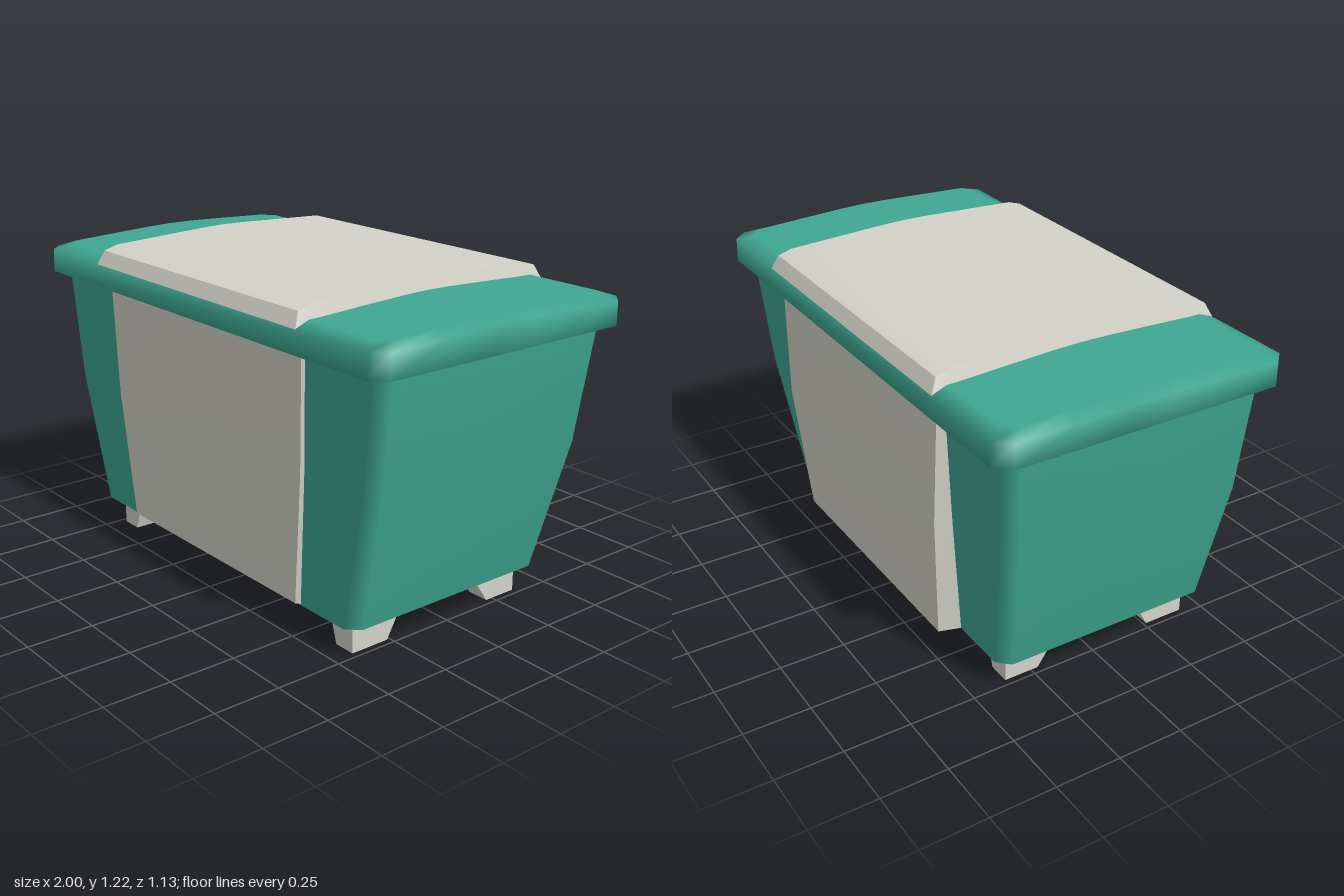
import * as THREE from 'three';
import { toCreasedNormals } from 'three/addons/utils/BufferGeometryUtils.js';

// Skin a stack of rings, lowest first. Each ring runs down the +x side from
// back to front, then returns along the -x side, so caps are simple strips.
function loft(rings, { bottom = true, top = true } = {}) {
  const n = rings[0].length;
  const pos = rings.flat(2);
  const idx = [];
  for (let r = 0; r < rings.length - 1; r++) {
    for (let i = 0; i < n; i++) {
      const j = (i + 1) % n;
      const a = r * n + i, b = r * n + j;
      idx.push(a, a + n, b, b, a + n, b + n);
    }
  }
  const cap = (start, up) => {
    for (let i = 0; i < n / 2 - 1; i++) {
      const r0 = start + i, r1 = r0 + 1, l0 = start + n - 1 - i, l1 = l0 - 1;
      if (up) idx.push(r0, l0, r1, r1, l0, l1);
      else idx.push(r0, r1, l0, r1, l1, l0);
    }
  };
  if (top) cap((rings.length - 1) * n, true);
  if (bottom) {
    // Separate vertices keep the lower edge crisp
    const start = pos.length / 3;
    pos.push(...rings[0].flat());
    cap(start, false);
  }
  const g = new THREE.BufferGeometry();
  g.setAttribute('position', new THREE.Float32BufferAttribute(pos, 3));
  g.setIndex(idx);
  g.computeVertexNormals();
  return g;
}

// Ring from [x, y, z] points of the +x side, mirrored to the -x side
const mirrorRing = (side) => [...side, ...side.map(([x, y, z]) => [-x, y, z]).reverse()];

// Rectangle with cut corners
const cutRing = (y, x, zBack, zFront, c) => mirrorRing([
  [x - c, y, zBack], [x, y, zBack + c], [x, y, zFront - c], [x - c, y, zFront],
]);

// Plain rectangle
const rectRing = (y, x0, x1, z0, z1) => [[x1, y, z0], [x1, y, z1], [x0, y, z1], [x0, y, z0]];

// Symmetric side list from [x, y, z] points given from front edge to centre
const archRing = (half) => mirrorRing([
  ...half.map(([x, y, z]) => [x, y, -z]),
  ...half.slice(0, -1).reverse(),
]);

export function createModel() {
  const model = new THREE.Group();
  const teal = new THREE.MeshStandardMaterial({ color: 0x3fa793 });
  teal.name = 'teal';
  const beige = new THREE.MeshStandardMaterial({ color: 0xd4d3c9 });
  beige.name = 'warm grey';
  const add = (name, geometry, material) => {
    const mesh = new THREE.Mesh(geometry, material);
    mesh.name = name;
    model.add(mesh);
  };

  // Tapered tub
  add('body', loft([
    cutRing(0.117, 0.788, -0.415, 0.475, 0.045),
    cutRing(0.62, 0.905, -0.475, 0.499, 0.045),
    cutRing(1.035, 0.955, -0.505, 0.508, 0.045),
  ], { top: false }), teal);

  // Overhanging lid with a gently arched top
  const lidRing = (x, z, c, yEdge, rise) => archRing([
    [x - c, yEdge, z],
    [x, yEdge + rise * 0.05, z - c],
    [x, yEdge + rise * 0.5, 0.28],
    [x, yEdge + rise * 0.9, 0.1],
    [x, yEdge + rise, 0],
  ]);
  add('lid', loft([
    lidRing(0.945, 0.505, 0.045, 1.028, 0),
    lidRing(0.998, 0.563, 0.052, 1.042, 0),
    lidRing(1.0, 0.56, 0.052, 1.13, 0.012),
    lidRing(0.95, 0.505, 0.045, 1.15, 0.019),
  ]), teal);

  // Raised panel across the lid
  add('lidPanel', toCreasedNormals(loft([
    archRing([
      [0.605, 1.128, 0.563], [0.605, 1.14, 0.5], [0.605, 1.148, 0.28],
      [0.605, 1.156, 0.1], [0.605, 1.158, 0],
    ]),
    archRing([
      [0.588, 1.18, 0.538], [0.588, 1.196, 0.485], [0.588, 1.205, 0.28],
      [0.588, 1.213, 0.1], [0.588, 1.215, 0],
    ]),
  ]), 0.25), beige);

  // Front and back panels: [y, outer x, face x, body z, face z]
  const panel = (name, levels, sign) => {
    const rings = levels.map(([y, xo, xi, zb, zf]) => {
      const lift = y < 0.2 ? 0.01 : 0;
      const inner = [xo, y, sign * zb], outer = [xi, y + lift, sign * zf];
      return mirrorRing(sign > 0 ? [inner, outer] : [outer, inner]);
    });
    add(name, toCreasedNormals(loft(rings), 0.3), beige);
  };
  panel('frontPanel', [
    [0.117, 0.523, 0.51, 0.46, 0.494],
    [0.62, 0.574, 0.563, 0.485, 0.512],
    [1.03, 0.59, 0.579, 0.495, 0.519],
  ], 1);
  panel('backPanel', [
    [0.117, 0.523, 0.507, 0.405, 0.5],
    [0.62, 0.574, 0.56, 0.465, 0.538],
    [1.03, 0.59, 0.577, 0.495, 0.532],
  ], -1);

  // Four feet, tapering on their inner sides
  for (const sx of [1, -1]) {
    for (const [label, zOut, zTop, zLow] of [['front', 0.418, 0.195, 0.262], ['back', -0.358, -0.14, -0.222]]) {
      const ring = (y, xIn, zIn) => rectRing(
        y, Math.min(sx * xIn, sx * 0.725), Math.max(sx * xIn, sx * 0.725),
        Math.min(zIn, zOut), Math.max(zIn, zOut),
      );
      const foot = loft([ring(0, 0.64, zLow), ring(0.12, 0.603, zTop)]);
      add(`${label}${sx > 0 ? 'Left' : 'Right'}Foot`, toCreasedNormals(foot, 0.3), beige);
    }
  }
  return model;
}
